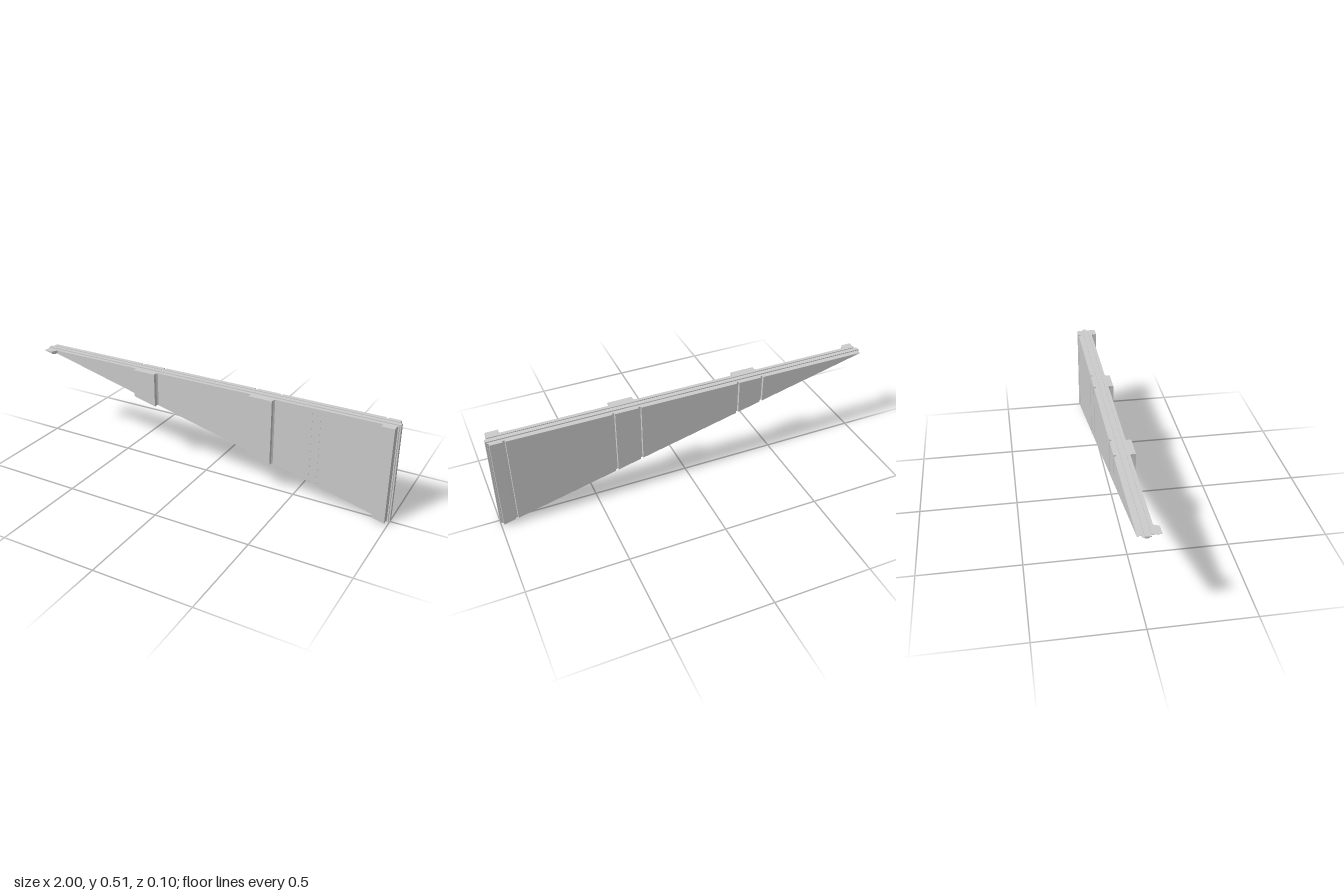
import * as THREE from 'three';

const material = new THREE.MeshStandardMaterial({ color: 0xcccccc, flatShading: true });

// Sloping lower edge of the panel
const slope = (x) => 0.25 * (1 - x);

// Prism from a plan outline of [x, z] points: flat top, bottom cut along the slope
function wedge(name, outline, top, inset) {
  const shape = new THREE.Shape(outline.map(([x, z]) => new THREE.Vector2(x, -z)));
  const geometry = new THREE.ExtrudeGeometry(shape, { depth: 1, bevelEnabled: false });
  geometry.rotateX(-Math.PI / 2);
  const p = geometry.attributes.position;
  for (let i = 0; i < p.count; i++) {
    p.setY(i, p.getY(i) > 0.5 ? top : Math.min(slope(p.getX(i)) + inset, top - 0.0005));
  }
  geometry.computeVertexNormals();
  const mesh = new THREE.Mesh(geometry, material);
  mesh.name = name;
  return mesh;
}

const rect = (x0, x1, z0, z1) => [[x0, z0], [x1, z0], [x1, z1], [x0, z1]];

export function createModel() {
  const group = new THREE.Group();
  group.name = 'wedgeWallPanel';
  const left = -0.99, right = 0.987, top = 0.508, inset = 0.009;

  // Front skin with projecting pilasters
  const face = 0.026, proud = 0.052, foot = 0.006;
  const front = [[left, 0.008], [left, proud], [-0.94, proud], [-0.925, face]];
  for (const [a, b] of [[-0.403, -0.277], [0.263, 0.387]]) {
    front.push([a - foot, face], [a, face + foot], [a, proud], [b, proud], [b, face + foot], [b + foot, face]);
  }
  front.push([0.918, face], [0.924, face + foot], [0.924, proud], [right, proud], [right, 0.008]);
  group.add(wedge('frontSkin', front, top, inset));

  // Back skin with vertical grooves
  const back = [[left, -0.03], [left, -0.052]];
  for (const x of [-0.405, -0.27, 0.258, 0.392, 0.92]) {
    back.push([x - 0.007, -0.052], [x - 0.005, -0.041], [x + 0.005, -0.041], [x + 0.007, -0.052]);
  }
  back.push([right, -0.052], [right, -0.03]);
  group.add(wedge('backSkin', back, top, inset));

  // Stepped core that forms the tongue around the edges
  group.add(wedge('core', rect(-0.994, 0.993, -0.03, 0.008), 0.504, 0.002));
  group.add(wedge('tongue', rect(-1, 1, -0.021, 0), 0.509, 0));

  // Fine seams on the front face
  group.add(wedge('seam', rect(0.584, 0.587, 0.02, 0.027), top, inset));
  group.add(wedge('shortSeam', rect(0.626, 0.629, 0.02, 0.027), 0.47, inset));
  return group;
}
